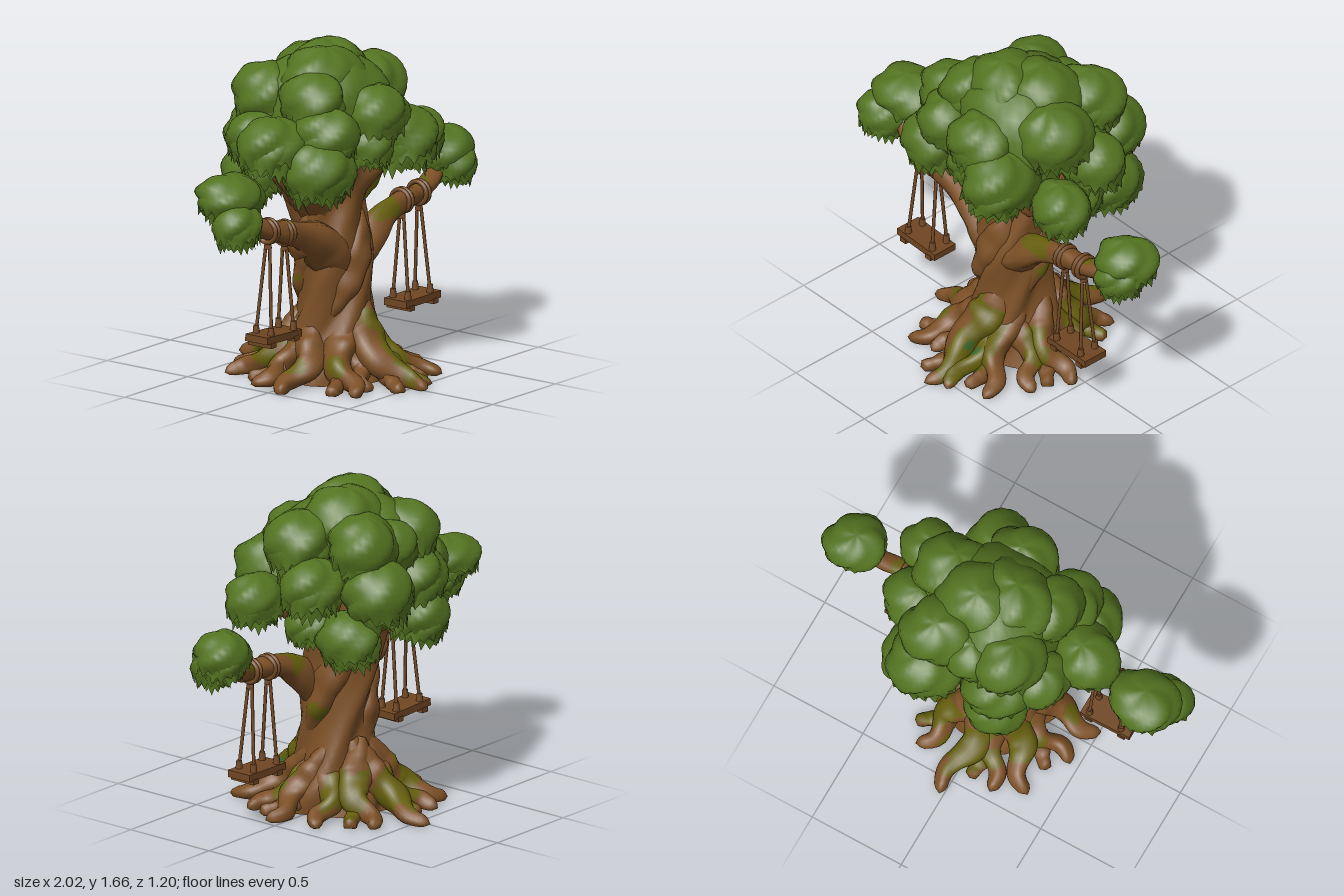
import * as THREE from 'three';
import { mergeVertices } from 'three/addons/utils/BufferGeometryUtils.js';

const mat = (name, color, side = THREE.FrontSide) => {
  const m = new THREE.MeshStandardMaterial({ color, side });
  m.name = name;
  return m;
};
const V = (x, y, z) => new THREE.Vector3(x, y, z);

// mossy spots on the wood: x, y, z, radius
const mossSpots = [
  [0.08, 0.93, 0.17, 0.08], [0.28, 0.78, 0.1, 0.08], [-0.03, 0.31, 0.24, 0.05], [0.08, 0.25, 0.24, 0.08],
  [0.09, 0.15, 0.36, 0.12], [0.06, 0.05, 0.48, 0.08], [0.24, 0.16, -0.24, 0.13], [0.3, 0.12, 0.14, 0.06],
  [0.22, 0.17, 0.08, 0.05], [-0.27, 0.12, 0.22, 0.06], [-0.36, 0.1, 0.06, 0.05], [0, 0.14, -0.36, 0.14],
  [-0.25, 0.15, -0.22, 0.11], [-0.13, 0.1, -0.33, 0.06], [0.2, 0.5, -0.02, 0.06], [-0.2, 0.5, -0.08, 0.05],
  [-0.45, 0.88, 0.06, 0.06], [-0.78, 0.99, 0.05, 0.05], [0.62, 0.86, 0.07, 0.05], [0.02, 0.6, -0.17, 0.06],
  [0.14, 1.08, -0.3, 0.08], [-0.25, 1.12, -0.18, 0.08],
];
const fernSpots = [[0.06, 0.13, 0.34, 0.03], [0.05, 0.04, 0.46, 0.025]];
const isNear = (spots, p) => spots.some(([x, y, z, r]) =>
  Math.hypot(p.x - x, p.y - y, p.z - z) < r * (1 + 0.25 * Math.sin(31 * p.x + 23 * p.y + 27 * p.z)));

// smooth shared normals across seams
function smooth(geo) {
  geo.deleteAttribute('uv');
  geo.deleteAttribute('normal');
  const g = mergeVertices(geo, 1e-5);
  g.computeVertexNormals();
  return g;
}

// order triangles into bark, moss and fern groups
function splitMoss(geo) {
  const p = geo.attributes.position, old = geo.index.array, lists = [[], [], []], c = V(0, 0, 0), t = V(0, 0, 0);
  for (let i = 0; i < old.length; i += 3) {
    c.set(0, 0, 0);
    for (let k = 0; k < 3; k++) c.addScaledVector(t.fromBufferAttribute(p, old[i + k]), 1 / 3);
    const group = isNear(fernSpots, c) ? 2 : isNear(mossSpots, c) ? 1 : 0;
    lists[group].push(old[i], old[i + 1], old[i + 2]);
  }
  geo.setIndex(lists.flat());
  let start = 0;
  lists.forEach((list, g) => {
    geo.addGroup(start, list.length, g);
    start += list.length;
  });
  return geo;
}

// knobbly tube with varying radius and rounded tip, kept above the ground
function limb(points, radii, seg = 30, sides = 14) {
  const curve = new THREE.CatmullRomCurve3(points);
  const geo = new THREE.TubeGeometry(curve, seg, 1, sides);
  const p = geo.attributes.position, v = V(0, 0, 0);
  for (let i = 0; i < p.count; i++) {
    const t = Math.floor(i / (sides + 1)) / seg, c = curve.getPointAt(t);
    const f = t * (radii.length - 1), k = Math.min(Math.floor(f), radii.length - 2);
    const tip = Math.sqrt(Math.min(1, (1 - t) * 16));
    const r = THREE.MathUtils.lerp(radii[k], radii[k + 1], f - k) * tip;
    const a = (i % (sides + 1)) / sides * Math.PI * 2;
    v.fromBufferAttribute(p, i).sub(c).multiplyScalar(r * (1 + 0.1 * Math.sin(3 * a + 9 * t) + 0.05 * Math.sin(25 * t))).add(c);
    p.setXYZ(i, v.x, Math.max(v.y, 0), v.z);
  }
  return splitMoss(smooth(geo));
}

// twisted, lobed trunk: rows of y, radius, centre z
function trunkGeometry() {
  const profile = new THREE.CatmullRomCurve3([
    V(0, 0.27, 0), V(0.1, 0.25, 0), V(0.25, 0.2, 0.015), V(0.4, 0.178, 0.025), V(0.6, 0.182, 0.02),
    V(0.78, 0.18, -0.01), V(0.92, 0.2, -0.03), V(1.05, 0.27, -0.03), V(1.13, 0.27, -0.03),
  ]);
  const geo = new THREE.CylinderGeometry(1, 1, 1, 56, 48, true), p = geo.attributes.position;
  for (let i = 0; i < p.count; i++) {
    const s = profile.getPoint(p.getY(i) + 0.5), a = Math.atan2(p.getZ(i), p.getX(i)), w = a + 2.8 * s.x;
    const r = s.y * (1 + 0.07 * Math.sin(5 * w) + 0.045 * Math.sin(3 * w + 1) + 0.02 * Math.sin(9 * w));
    p.setXYZ(i, Math.cos(a) * r, s.x, Math.sin(a) * r + s.z);
  }
  return splitMoss(smooth(geo));
}

// leafy dome with lumpy, flattened top and ragged skirt
function leafGeometry(seed, drop) {
  const cols = 36, rows = 11, geo = new THREE.SphereGeometry(1, cols, rows, 0, Math.PI * 2, 0, Math.PI * 0.66);
  const p = geo.attributes.position;
  for (let i = 0; i < p.count; i++) {
    const row = Math.floor(i / (cols + 1)), col = i % (cols + 1) % cols;
    const x = p.getX(i), y = p.getY(i), z = p.getZ(i), a = Math.atan2(z, x), ring = Math.hypot(x, z);
    const b = 1 + ring * (0.06 * Math.sin(2 * a + seed * 3) + 0.05 * Math.sin(3 * a + seed + 3 * y) + 0.05 * Math.sin(5 * a + 6 * y + seed * 2));
    let dy = 0, flare = 1;
    if (row >= rows - 1) {
      const tooth = col % 2 ? 0.13 + 0.12 * Math.sin(4 * a + seed) : -0.06;
      dy = row === rows ? tooth : tooth * 0.3;
      flare = row === rows && col % 2 ? 1.04 : 0.98;
    }
    p.setXYZ(i, x * b * flare, (y > 0 ? 0.94 * y : y) * b - dy - drop, z * b * flare);
  }
  return smooth(geo);
}

export function createModel() {
  const tree = new THREE.Group();
  tree.name = 'swingTree';
  const bark = mat('bark', 0x7c5026), moss = mat('moss', 0x665f0e), fern = mat('fern', 0x3a6a2c);
  const leaf = mat('leaf', 0x547421, THREE.DoubleSide);
  const seatWood = mat('seatWood', 0x704622), ropeFibre = mat('rope', 0x744a26);
  const wood = [bark, moss, fern];
  const add = (name, geo, material, parent = tree) => {
    const m = new THREE.Mesh(geo, material);
    m.name = name;
    parent.add(m);
    return m;
  };

  add('trunk', trunkGeometry(), wood);
  const base = add('trunkBase', new THREE.CircleGeometry(0.27, 32), bark);
  base.rotation.x = Math.PI / 2;

  // roots: tip x, tip z, thickness, height where they leave the trunk
  const roots = [
    [-0.01, 0.6, 1.3, 0.43], [0.1, 0.55, 0.8, 0.3], [0.28, 0.47, 0.95, 0.34], [0.41, 0.25, 0.85, 0.28],
    [0.49, 0.07, 1, 0.34], [0.42, -0.2, 0.9, 0.3], [0.25, -0.42, 1.15, 0.36], [0.02, -0.59, 1.15, 0.36],
    [-0.19, -0.46, 0.9, 0.3], [-0.36, -0.38, 1.1, 0.34], [-0.46, -0.14, 0.85, 0.28], [-0.51, 0.08, 1.05, 0.32],
    [-0.34, 0.41, 1.05, 0.33], [-0.18, 0.4, 0.8, 0.28],
  ];
  roots.forEach(([x, z, k, h], i) => {
    const L = Math.hypot(x, z), dx = x / L, dz = z / L, bend = i % 2 ? 0.03 : -0.03;
    const at = (d, y, s = 0) => V(dx * d - dz * s * bend, y, dz * d + dx * s * bend);
    add('root', limb(
      [at(0.12, h, 2), at(0.18, h * 0.58, 0.5), at(0.19 + L * 0.2, h * 0.28, -1), at(L * 0.8, 0.035, 1), at(L, 0.012)],
      [0.03, 0.07 * k, 0.075 * k, 0.065 * k, 0.052 * k, 0.042, 0.03]), wood);
    // side fork on every other root
    if (i % 2 === 0) add('rootFork', limb([at(L * 0.55, 0.06), at(L * 0.7, 0.03, -1.8), at(L * 0.88, 0.012, -3.6)],
      [0.045, 0.04, 0.03], 16, 9), wood);
  });

  // broad strands winding up the trunk
  for (const [start, y0, y1] of [[2.6, 0.32, 0.85], [0.5, 0.35, 0.95], [4.6, 0.3, 0.9]]) {
    const pts = [];
    for (let i = 0; i <= 6; i++) {
      const a = start - 1.7 * i / 6, y = y0 + (y1 - y0) * i / 6;
      pts.push(V(Math.cos(a) * 0.13, y, 0.02 + Math.sin(a) * 0.13 - Math.max(0, y - 0.6) * 0.12));
    }
    add('trunkStrand', limb(pts, [0.03, 0.075, 0.08, 0.07, 0.03]), wood);
  }

  // two long side boughs
  add('rightBough', limb([V(-0.02, 0.56, 0.06), V(-0.16, 0.69, 0.07), V(-0.32, 0.77, 0.08), V(-0.48, 0.82, 0.085),
    V(-0.62, 0.86, 0.085), V(-0.74, 0.92, 0.06), V(-0.8, 1.02, 0.03)], [0.1, 0.12, 0.085, 0.06, 0.052, 0.05, 0.035], 40), wood);
  add('leftBough', limb([V(0.0, 0.52, 0.08), V(0.15, 0.64, 0.09), V(0.28, 0.74, 0.09), V(0.45, 0.79, 0.085),
    V(0.6, 0.805, 0.085), V(0.73, 0.85, 0.06), V(0.82, 0.94, 0.05)], [0.08, 0.095, 0.07, 0.055, 0.048, 0.046, 0.03], 40), wood);
  add('stub', limb([V(-0.2, 0.74, 0.06), V(-0.29, 0.71, 0.04), V(-0.345, 0.685, 0.03)], [0.08, 0.07, 0.055], 16), wood);

  // upper boughs reaching into the crown
  for (const [x, y, z] of [[-0.42, 1.15, 0.15], [-0.45, 1.2, -0.02], [0.4, 1.12, 0.12], [0.42, 1.2, -0.12], [0.18, 1.15, 0.26],
    [-0.16, 1.2, 0.22], [0.18, 1.15, -0.4], [-0.16, 1.05, -0.34], [0.3, 1.03, -0.3], [-0.3, 1.2, -0.22]])
    add('upperBough', limb([V(x * 0.2, 0.8, z * 0.2 - 0.02), V(x * 0.5, 0.97, z * 0.5 - 0.02), V(x, y, z)],
      [0.06, 0.075, 0.025], 16, 10), wood);

  // leaf clumps: x, y, z, radius, height factor
  const clumps = [
    [0, 1.32, -0.04, 0.33], [-0.07, 1.48, 0, 0.2], [0.08, 1.48, -0.09, 0.2],
    [0.03, 1.34, 0.26, 0.165], [0.29, 1.4, 0.02, 0.185], [0.19, 1.42, -0.3, 0.18], [-0.22, 1.42, 0.06, 0.17],
    [-0.18, 1.4, -0.25, 0.18], [0.18, 1.19, 0.27, 0.19], [-0.28, 1.28, 0.19, 0.16], [-0.37, 1.12, 0.21, 0.17],
    [-0.47, 1.23, 0, 0.17], [0.48, 1.13, 0.14, 0.15], [0.39, 1.23, -0.15, 0.165], [0.2, 1.21, -0.41, 0.185],
    [-0.17, 1.19, -0.33, 0.17], [-0.33, 1.22, -0.21, 0.15], [0.32, 0.98, -0.32, 0.16], [-0.17, 1.0, -0.35, 0.16],
    [-0.04, 1.2, 0.25, 0.13], [0.35, 1.02, -0.1, 0.12], [0, 1.38, -0.3, 0.15], [0.03, 1.17, -0.26, 0.15, 0.8],
    [-0.8, 1.05, 0, 0.17, 0.72], [-0.865, 0.93, 0.09, 0.13], [0.85, 0.96, 0.04, 0.15, 0.9], [0.86, 0.9, 0.09, 0.12],
  ];
  // leaf layers of each clump: scale, drop
  const layers = [[1, 0], [0.92, 0.18], [0.78, 0.4]];
  clumps.forEach(([x, y, z, r, tall = 1], i) => {
    const clump = new THREE.Group();
    clump.name = 'leafClump';
    layers.forEach(([s, drop], k) => {
      const layer = add('leafLayer', leafGeometry(i * 1.7 + k * 2.1, drop), leaf, clump);
      layer.scale.set(s, 0.92, s);
    });
    clump.position.set(x, y + r * 0.04, z);
    clump.scale.set(r, r * tall, r);
    clump.rotation.set(0.14 * Math.sin(i * 2), i * 0.9, 0.14 * Math.sin(i * 3));
    tree.add(clump);
  });

  // swings: seat centre, tilt, and per rope [top x, top y, bottom x]
  const swings = [
    { x: -0.565, y: 0.32, tilt: -0.04, ropes: [[-0.61, 0.855, -0.645], [-0.48, 0.82, -0.468]] },
    { x: 0.535, y: 0.28, tilt: 0.01, ropes: [[0.45, 0.79, 0.44], [0.585, 0.803, 0.615]] },
  ];
  for (const { x, y, tilt, ropes } of swings) {
    const swing = new THREE.Group(), z = 0.085;
    swing.name = 'swing';
    tree.add(swing);
    const seat = add('seat', new THREE.BoxGeometry(0.275, 0.036, 0.138), seatWood, swing);
    seat.position.set(x, y, z);
    seat.rotation.z = tilt;
    for (const s of [-1, 1]) {
      const cleat = add('seatCleat', new THREE.BoxGeometry(0.04, 0.026, 0.145), seatWood, swing);
      cleat.position.set(x + s * 0.092, y - 0.024, z);
    }
    for (const [tx, ty, bx] of ropes) {
      // loops of rope around the bough
      for (const o of [-0.012, 0.012]) {
        const loop = add('ropeLoop', new THREE.TorusGeometry(0.056, 0.012, 8, 20), ropeFibre, swing);
        loop.position.set(tx + o, ty, z);
        loop.rotation.y = Math.PI / 2;
      }
      for (const s of [-1, 1]) {
        const a = V(tx, ty - 0.05, z + s * 0.01), b = V(bx, y + 0.015, z + s * 0.048);
        add('rope', new THREE.TubeGeometry(new THREE.LineCurve3(a, b), 1, 0.0085, 8), ropeFibre, swing);
        const knot = add('knot', new THREE.CylinderGeometry(0.014, 0.018, 0.045, 8), ropeFibre, swing);
        knot.position.set(bx, y + 0.037, z + s * 0.046);
      }
      const tie = add('tie', new THREE.CylinderGeometry(0.016, 0.019, 0.04, 8), ropeFibre, swing);
      tie.position.set(tx, ty - 0.07, z);
    }
  }
  return tree;
}
